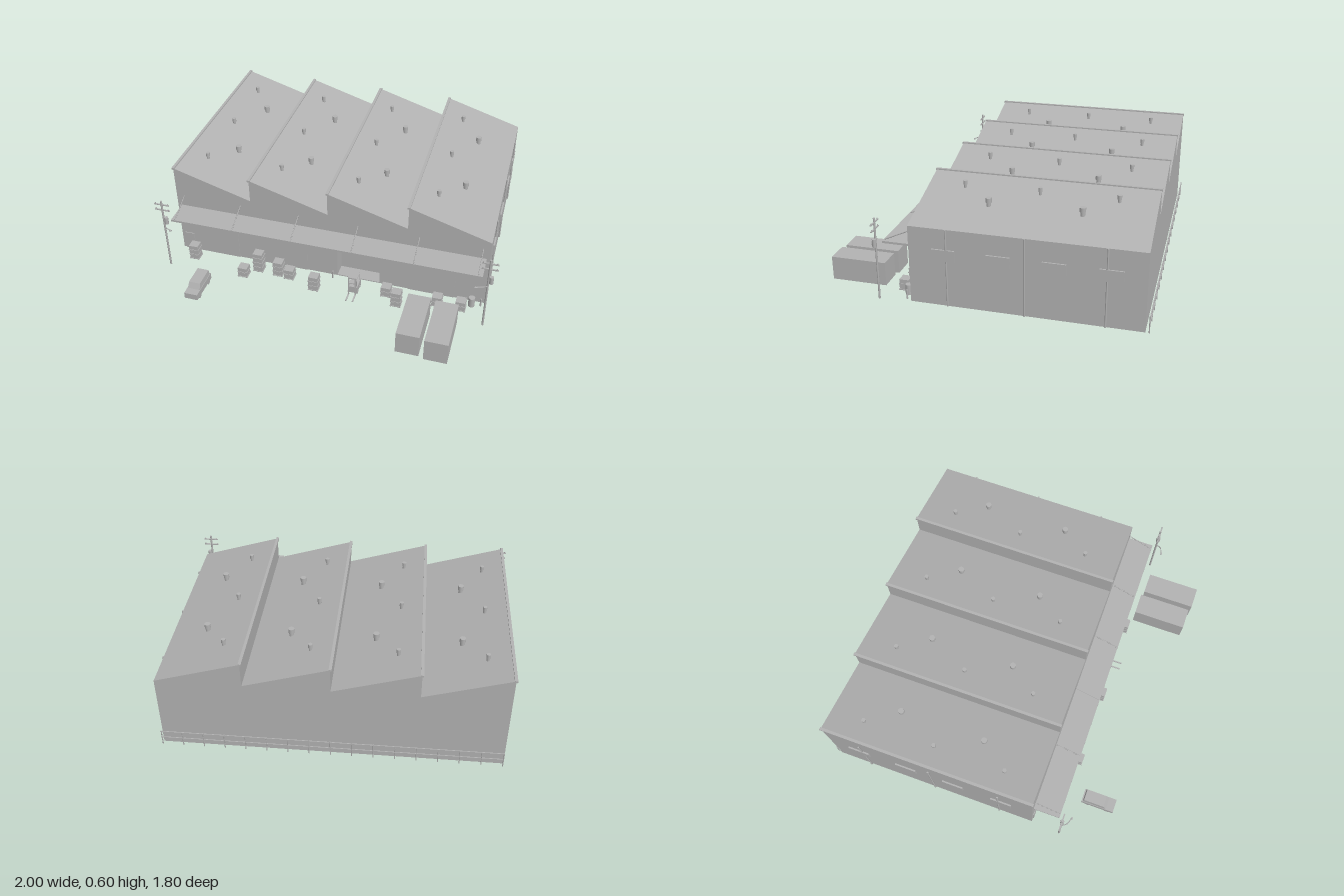
import * as THREE from 'three';

const grey = new THREE.MeshStandardMaterial({ color: 0xb2b2b2 });
grey.name = 'concrete grey';
const FRONT = 0.38, BACK = -0.88, LEFT = -0.945, PITCH = 0.471, EAVE = 0.445, PEAK = 0.59, T = 0.006;

function add(parent, name, geometry, x = 0, y = 0, z = 0) {
  const mesh = new THREE.Mesh(geometry, grey);
  mesh.name = name;
  mesh.position.set(x, y, z);
  parent.add(mesh);
  return mesh;
}
// Box given by its extents
const box = (p, name, x0, x1, y0, y1, z0, z1) =>
  add(p, name, new THREE.BoxGeometry(x1 - x0, y1 - y0, z1 - z0), (x0 + x1) / 2, (y0 + y1) / 2, (z0 + z1) / 2);
// Upright cylinder standing on y0
const post = (p, name, x, z, y0, y1, r, sides = 10) =>
  add(p, name, new THREE.CylinderGeometry(r, r, y1 - y0, sides), x, (y0 + y1) / 2, z);
// Rod between two points
function rod(p, name, a, b, r) {
  const A = new THREE.Vector3(...a), B = new THREE.Vector3(...b), d = B.clone().sub(A);
  const m = add(p, name, new THREE.CylinderGeometry(r, r, d.length(), 6));
  m.position.copy(A).add(B).multiplyScalar(0.5);
  m.quaternion.setFromUnitVectors(new THREE.Vector3(0, 1, 0), d.normalize());
}
function extrude(p, name, points, depth, z) {
  const shape = new THREE.Shape(points.map(([x, y]) => new THREE.Vector2(x, y)));
  return add(p, name, new THREE.ExtrudeGeometry(shape, { depth, bevelEnabled: false }), 0, 0, z);
}
function group(parent, name, x = 0, y = 0, z = 0) {
  const g = new THREE.Group();
  g.name = name;
  g.position.set(x, y, z);
  parent.add(g);
  return g;
}

const doors = [[-0.84, -0.57], [-0.4, -0.13], [0.05, 0.32], [0.49, 0.76]];
const DOOR_TOP = 0.28;

function buildShell(root) {
  const g = group(root, 'factoryShell');
  const right = LEFT + 4 * PITCH;
  // Sawtooth end walls; the front one has an open bay
  const saw = [];
  for (let i = 3; i >= 0; i--) {
    const x = LEFT + i * PITCH;
    saw.push([x + PITCH, EAVE - 0.004], [x, PEAK - 0.004]);
  }
  const [b0, b1] = doors[2];
  extrude(g, 'backWall', [[LEFT, 0], [right, 0], ...saw], T, BACK);
  extrude(g, 'frontWall', [[LEFT, 0], [b0, 0], [b0, DOOR_TOP], [b1, DOOR_TOP], [b1, 0], [right, 0], ...saw], T, FRONT - T);
  box(g, 'leftWall', LEFT, LEFT + T, 0, PEAK - 0.004, BACK, FRONT);
  box(g, 'rightWall', right - T, right, 0, EAVE - 0.004, BACK, FRONT);

  // Sawtooth roof with ridge caps and vents
  for (let i = 0; i < 4; i++) {
    const x = LEFT + i * PITCH, e = x + PITCH;
    extrude(g, 'roofSlope', [[x, PEAK - T], [e, EAVE - T], [e, EAVE], [x, PEAK]], FRONT - BACK, BACK);
    if (i) box(g, 'clerestory', x, x + T, EAVE - T, PEAK - T, BACK, FRONT);
    box(g, 'ridgeCap', x - 0.008, x + 0.008, PEAK - 0.007, PEAK + 0.005, BACK - 0.004, FRONT + 0.005);
    for (const z of [-0.675, -0.25, 0.17]) {
      post(g, 'ventPipe', x + 0.128, z, 0.53, 0.58, 0.009);
      post(g, 'ventCap', x + 0.128, z, 0.566, 0.59, 0.012);
    }
    for (const z of [-0.505, 0]) {
      post(g, 'fanBase', x + 0.256, z, 0.49, 0.545, 0.013, 12);
      post(g, 'fanHood', x + 0.256, z, 0.53, 0.556, 0.017, 12);
    }
  }

  // Side windows and downpipes
  for (const x of [LEFT, right]) {
    for (const z of [0.1875, -0.11, -0.405, -0.7])
      box(g, 'sideWindow', x - 0.009, x + 0.009, 0.265, 0.33, z - 0.0635, z + 0.0635);
    for (const z of [0.17, -0.25, -0.677])
      post(g, 'downpipe', x + Math.sign(x) * 0.004, z, 0, EAVE, 0.005, 8);
  }

  // Loading doors with lamps above; the third is a recessed bay
  doors.forEach(([x0, x1], i) => {
    if (i === 2) {
      const z = FRONT - 0.08;
      box(g, 'bayDoor', x0, x1, 0, DOOR_TOP, z - T, z);
      box(g, 'bayFloor', x0, x1, 0, T, z, FRONT);
      box(g, 'bayCeiling', x0, x1, DOOR_TOP - T, DOOR_TOP, z, FRONT);
      box(g, 'bayJamb', x0, x0 + T, 0, DOOR_TOP, z, FRONT);
      box(g, 'bayJamb', x1 - T, x1, 0, DOOR_TOP, z, FRONT);
    } else box(g, 'loadingDoor', x0, x1, 0, DOOR_TOP, FRONT - 0.009, FRONT + 0.004);
    const c = (x0 + x1) / 2;
    box(g, 'doorLamp', c - 0.014, c + 0.014, 0.29, 0.298, FRONT, FRONT + 0.015);
  });
  box(g, 'staffDoor', -0.925, -0.865, 0, 0.12, FRONT - 0.009, FRONT + 0.005);

  // Canopy hung on tie rods
  box(g, 'canopy', -0.92, 0.92, 0.318, 0.33, FRONT, 0.535);
  for (let i = 0; i < 6; i++) {
    const x = -0.897 + i * 0.3585;
    rod(g, 'canopyRod', [x, 0.4, FRONT], [x, 0.33, 0.53], 0.003);
  }
}

function buildFence(root) {
  const g = group(root, 'backFence');
  for (let i = 0; i <= 16; i++) post(g, 'fencePost', -0.94 + i * 0.1175, -0.9, 0, 0.097, 0.003, 6);
  for (const y of [0.05, 0.092]) box(g, 'fenceRail', -0.94, 0.94, y - 0.003, y + 0.003, -0.903, -0.898);
}

// Utility pole with crossarms, transformer and curved street lamp
function buildPole(root, side) {
  const g = group(root, 'utilityPole', side * 0.953, 0, 0.557);
  post(g, 'pole', 0, 0, 0, 0.475, 0.006, 8);
  for (const y of [0.45, 0.412]) {
    box(g, 'crossarm', -0.046, 0.046, y - 0.003, y + 0.003, -0.004, 0.004);
    for (const x of [-0.038, 0.038]) post(g, 'insulator', x, 0, y, y + 0.01, 0.003, 6);
  }
  post(g, 'transformer', 0.016, 0, 0.315, 0.36, 0.012, 12);
  const curve = new THREE.CatmullRomCurve3([[0, 0.29, 0], [-side * 0.02, 0.306, 0.03], [-side * 0.058, 0.309, 0.045]]
    .map(p => new THREE.Vector3(...p)));
  add(g, 'lampArm', new THREE.TubeGeometry(curve, 10, 0.003, 6));
  box(g, 'lampHead', -side * 0.058 - 0.007, -side * 0.058 + 0.007, 0.303, 0.309, 0.041, 0.051);
}

// Loaded pallets: [centre x, centre z, layers]
const stacks = [[-0.833, 0.45, 3], [-0.487, 0.525, 2], [-0.415, 0.455, 4], [-0.288, 0.46, 3], [-0.216, 0.47, 2],
  [-0.046, 0.525, 3], [0.375, 0.46, 2], [0.449, 0.525, 3], [0.675, 0.46, 2], [0.812, 0.46, 2]];
function buildPallets(root) {
  for (const [x, z, n] of stacks) {
    const g = group(root, 'palletStack', x, 0, z);
    for (let i = 0; i < n; i++) {
      const y = i * 0.033;
      box(g, 'palletDeck', -0.031, 0.031, y + 0.003, y + 0.007, -0.03, 0.03);
      for (const s of [-0.026, 0, 0.026]) box(g, 'palletRunner', s - 0.004, s + 0.004, y, y + 0.004, -0.03, 0.03);
      box(g, 'crate', -0.028, 0.028, y + 0.007, y + 0.032, -0.027, 0.027);
    }
  }
  post(root, 'drum', 0.868, 0.42, 0, 0.06, 0.019, 14);
  for (const x of [0.035, 0.92]) post(root, 'bollard', x, 0.41, 0, 0.052, 0.005, 8);
}

function buildForklift(root) {
  const g = group(root, 'forklift', 0.185, 0, 0);
  box(g, 'forkliftBody', -0.028, 0.028, 0.012, 0.055, 0.425, 0.515);
  for (const s of [-1, 1]) {
    box(g, 'mast', s * 0.02 - 0.003, s * 0.02 + 0.003, 0.006, 0.138, 0.524, 0.532);
    box(g, 'fork', s * 0.02 - 0.004, s * 0.02 + 0.004, 0.006, 0.011, 0.524, 0.588);
    for (const z of [0.445, 0.5])
      add(g, 'forkliftWheel', new THREE.CylinderGeometry(0.013, 0.013, 0.01, 12), s * 0.024, 0.013, z).rotation.z = Math.PI / 2;
    for (const z of [0.445, 0.505]) post(g, 'guardPost', s * 0.022, z, 0.055, 0.112, 0.002, 6);
  }
  for (const y of [0.095, 0.134]) box(g, 'mastBar', -0.02, 0.02, y - 0.003, y + 0.003, 0.525, 0.531);
  box(g, 'overheadGuard', -0.025, 0.025, 0.11, 0.114, 0.44, 0.51);
}

function buildVan(root) {
  const g = group(root, 'van', -0.697, 0, 0);
  box(g, 'vanBody', -0.04, 0.04, 0.014, 0.052, 0.625, 0.825);
  // Cabin with a sloping windscreen
  const cabin = add(g, 'vanCabin', new THREE.BoxGeometry(0.074, 0.033, 0.146), 0, 0.0685, 0.706);
  const p = cabin.geometry.attributes.position;
  for (let i = 0; i < p.count; i++)
    if (p.getY(i) > 0) p.setXYZ(i, p.getX(i) * 0.92, p.getY(i), p.getZ(i) > 0 ? 0.055 : -0.068);
  cabin.geometry.computeVertexNormals();
  for (const s of [-1, 1]) for (const z of [0.662, 0.785])
    add(g, 'vanWheel', new THREE.CylinderGeometry(0.016, 0.016, 0.012, 14), s * 0.034, 0.016, z).rotation.z = Math.PI / 2;
}

export function createModel() {
  const root = new THREE.Group();
  root.name = 'factory';
  buildShell(root);
  buildFence(root);
  buildPole(root, -1);
  buildPole(root, 1);
  buildPallets(root);
  buildForklift(root);
  buildVan(root);
  // Parked freight containers
  box(root, 'container', 0.525, 0.655, 0, 0.138, 0.567, 0.887);
  box(root, 'container', 0.683, 0.813, 0, 0.138, 0.58, 0.9);
  return root;
}
